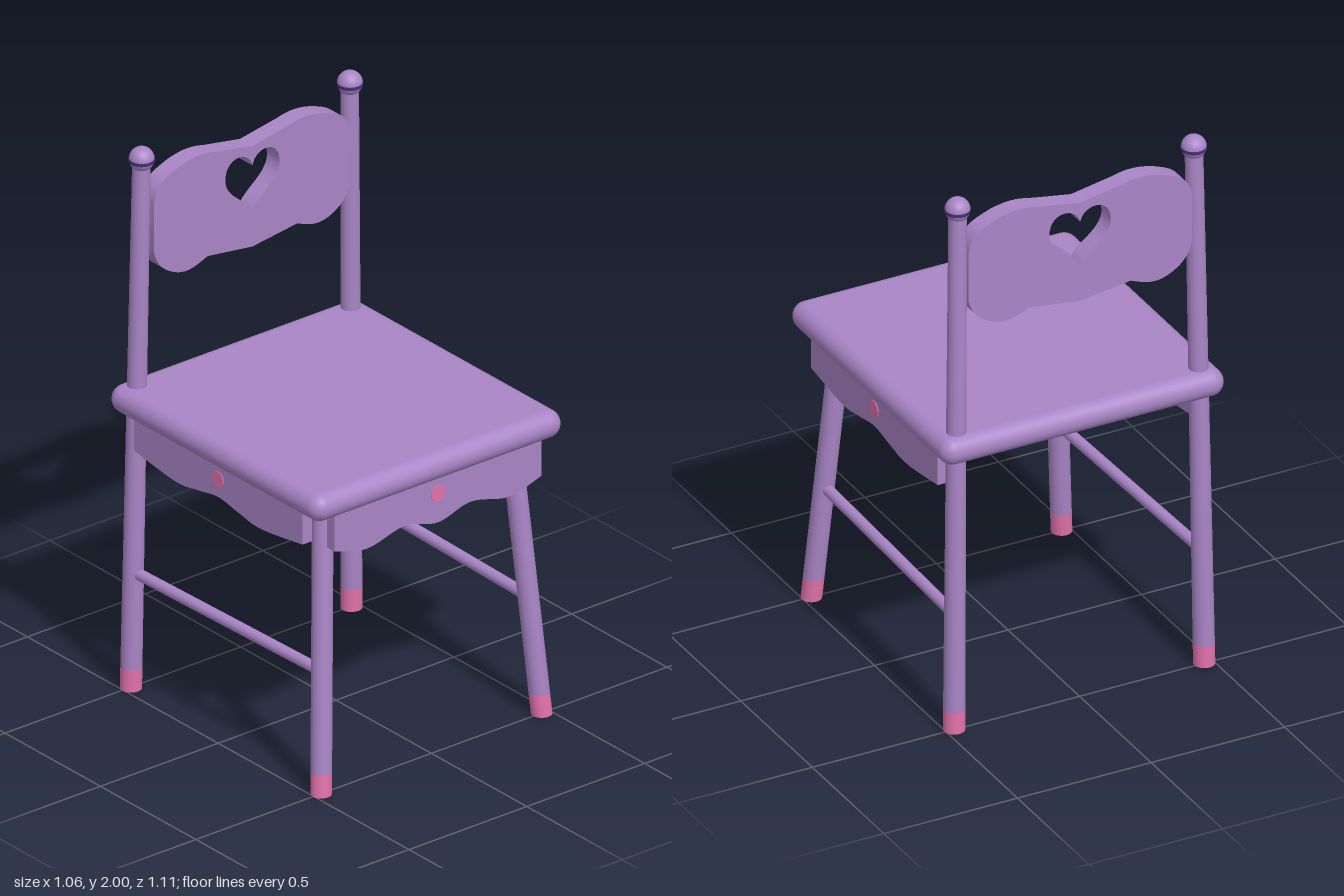
import * as THREE from 'three';
import { toCreasedNormals } from 'three/addons/utils/BufferGeometryUtils.js';
import { RoundedBoxGeometry } from 'three/addons/geometries/RoundedBoxGeometry.js';

const material = (name, color) => {
  const m = new THREE.MeshStandardMaterial({ color });
  m.name = name;
  return m;
};

export function createModel() {
  const purple = material('purple paint', 0xa985c6);
  const pink = material('pink paint', 0xe272aa);
  const dark = material('dark purple paint', 0x46307a);
  const model = new THREE.Group();

  const add = (name, geometry, mat, parent = model) => {
    const mesh = new THREE.Mesh(geometry, mat);
    mesh.name = name;
    parent.add(mesh);
    return mesh;
  };

  // Leaning round bar with level ends: a cylinder sheared from point a to point b
  const bar = (a, b, ra, rb) => {
    const h = b.y - a.y;
    const g = new THREE.CylinderGeometry(rb, ra, h, 24);
    g.applyMatrix4(new THREE.Matrix4().set(
      1, (b.x - a.x) / h, 0, (a.x + b.x) / 2,
      0, 1, 0, (a.y + b.y) / 2,
      0, (b.z - a.z) / h, 1, (a.z + b.z) / 2,
      0, 0, 0, 1));
    return g;
  };

  // Leg with a pink painted foot
  const leg = (name, a, b, ra, rb) => {
    const t = 0.08 / (b.y - a.y);
    const mid = a.clone().lerp(b, t);
    const rm = ra + (rb - ra) * t;
    const group = new THREE.Group();
    group.name = name;
    add(name + 'Foot', bar(a, mid, ra, rm), pink, group);
    add(name + 'Shaft', bar(mid, b, rm, rb), purple, group);
    model.add(group);
  };

  const plate = (shape, depth) => {
    const g = new THREE.ExtrudeGeometry(shape, { depth, bevelEnabled: false, curveSegments: 16 });
    g.translate(0, 0, -depth / 2);
    return toCreasedNormals(g, 0.6);
  };

  // Seat
  add('seat', new RoundedBoxGeometry(1.06, 0.1, 1.11, 6, 0.05), purple).position.y = 1.07;

  // Apron with a scalloped lower edge and a small painted dot
  const apron = (name, half, endY, dipX, dipY, riseX, riseY, midY) => {
    const edge = [[-half, endY], [-dipX, dipY], [-riseX, riseY], [0, midY],
      [riseX, riseY], [dipX, dipY], [half, endY]].map(p => new THREE.Vector2(...p));
    const shape = new THREE.Shape();
    shape.moveTo(-half, 1.03);
    shape.lineTo(-half, endY);
    shape.splineThru(edge.slice(1));
    shape.lineTo(half, 1.03);
    const group = new THREE.Group();
    group.name = name;
    add(name + 'Board', plate(shape, 0.04), purple, group);
    const dot = add(name + 'Dot', new THREE.CylinderGeometry(0.03, 0.03, 0.004, 16), pink, group);
    dot.rotation.x = Math.PI / 2;
    dot.position.set(0, 0.975, 0.021);
    model.add(group);
    return group;
  };
  apron('frontApron', 0.44, 0.9, 0.3, 0.867, 0.14, 0.9, 0.868).position.z = 0.515;

  for (const s of [1, -1]) {
    const side = s > 0 ? 'left' : 'right';
    const v = (x, y, z) => new THREE.Vector3(s * x, y, z);

    const sideApron = apron(side + 'Apron', 0.442, 0.908, 0.225, 0.88, 0.11, 0.893, 0.91);
    sideApron.position.x = s * 0.48;
    sideApron.rotation.y = s * Math.PI / 2;

    // Legs and the rail between them
    leg(side + 'FrontLeg', v(0.468, 0, 0.5), v(0.396, 1.04, 0.42), 0.036, 0.036);
    leg(side + 'BackPost', v(0.468, 0, -0.497), v(0.442, 1.945, -0.474), 0.037, 0.031);
    add(side + 'Rail', new THREE.TubeGeometry(
      new THREE.LineCurve3(v(0.438, 0.43, 0.465), v(0.462, 0.43, -0.49)), 1, 0.02, 16), purple);

    // Round finial with a dark ring
    add(side + 'Finial', new THREE.SphereGeometry(0.043, 32, 20), purple).position.copy(v(0.442, 1.957, -0.473));
    add(side + 'FinialRing', new THREE.CylinderGeometry(0.0435, 0.0435, 0.012, 32), dark)
      .position.copy(v(0.442, 1.953, -0.473));
  }

  // Backrest board: right half outline, mirrored for the other half
  const back = new THREE.Shape();
  back.moveTo(0, 1.505);
  back.lineTo(0.19, 1.53);
  back.bezierCurveTo(0.24, 1.51, 0.28, 1.49, 0.34, 1.52);
  back.bezierCurveTo(0.38, 1.54, 0.41, 1.57, 0.418, 1.62);
  back.lineTo(0.418, 1.8);
  back.bezierCurveTo(0.405, 1.87, 0.36, 1.88, 0.31, 1.9);
  back.bezierCurveTo(0.26, 1.915, 0.21, 1.92, 0.16, 1.905);
  back.lineTo(0, 1.877);
  const half = back.getPoints(16);
  const mirrored = half.slice(1, -1).reverse().map(p => new THREE.Vector2(-p.x, p.y));
  const board = new THREE.Shape([...half, ...mirrored]);

  // Heart cut-out
  const heart = new THREE.Path();
  heart.moveTo(0, 1.643);
  heart.bezierCurveTo(0.03, 1.69, 0.115, 1.72, 0.115, 1.785);
  heart.bezierCurveTo(0.115, 1.87, 0.015, 1.87, 0, 1.805);
  heart.bezierCurveTo(-0.015, 1.87, -0.115, 1.87, -0.115, 1.785);
  heart.bezierCurveTo(-0.115, 1.72, -0.03, 1.69, 0, 1.643);
  board.holes.push(heart);
  add('backrest', plate(board, 0.066), purple).position.z = -0.471;

  return model;
}
